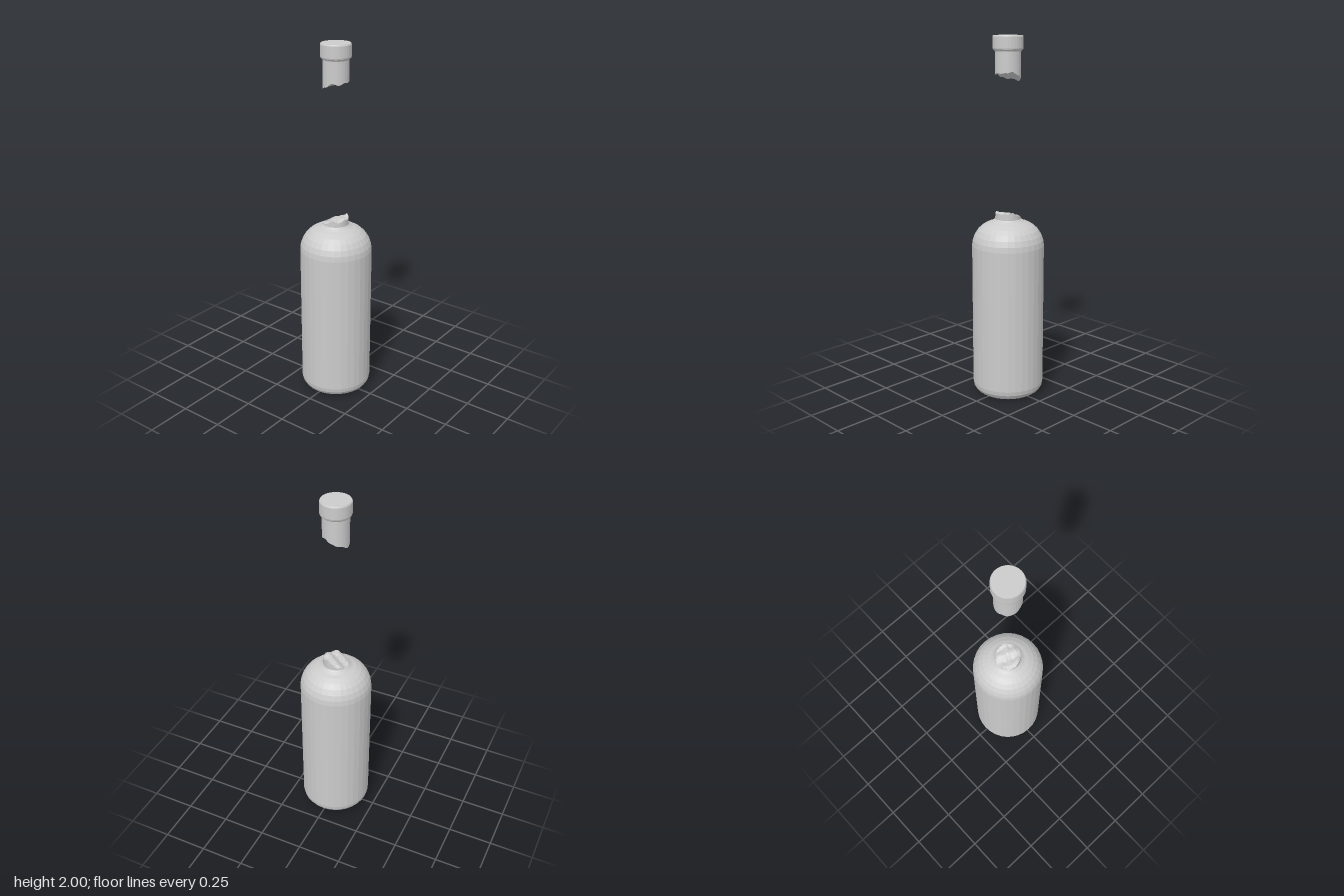
import * as THREE from 'three';

const SIDES = 32;

// Height of the jagged break across the neck: high at the front, low at the back
function breakHeight(x, z) {
  const slope = z > 0.03 ? 1.046 : 1.046 - (0.03 - z) * 0.4;
  const tilt = x * 0.08;
  const chips = 0.005 * Math.sin(x * 85 + z * 40) + 0.003 * Math.cos(z * 130 - x * 60);
  return slope + tilt + chips;
}

// Lathe whose rings chosen by isBroken follow the break, shifted up by lift
function brokenLathe(profile, isBroken, lift) {
  const geo = new THREE.LatheGeometry(profile.map(([r, y]) => new THREE.Vector2(r, y)), SIDES);
  const pos = geo.attributes.position;
  for (let i = 0; i < pos.count; i++) {
    if (isBroken(i % profile.length)) {
      pos.setY(i, breakHeight(pos.getX(i), pos.getZ(i)) + lift);
    }
  }
  geo.computeVertexNormals();
  return geo;
}

export function createModel() {
  const group = new THREE.Group();
  const material = new THREE.MeshStandardMaterial({ color: 0xcccccc, flatShading: true });
  const add = (name, geo) => {
    const mesh = new THREE.Mesh(geo, material);
    mesh.name = name;
    group.add(mesh);
  };
  const breakRings = [0.07, 0.052, 0.035, 0.018, 0];

  // Bottle body: shallow hollow base, rounded foot, straight wall, domed shoulder, neck stub
  const body = [[0, 0.012], [0.08, 0.01], [0.115, 0.003], [0.14, 0]];
  for (let i = 1; i <= 4; i++) {
    const a = (i / 4) * Math.PI / 2;
    body.push([0.14 + 0.059 * Math.sin(a), 0.06 - 0.06 * Math.cos(a)]);
  }
  body.push([0.2, 0.86], [0.196, 0.89], [0.185, 0.92], [0.167, 0.948],
    [0.143, 0.97], [0.115, 0.986], [0.092, 0.994], [0.078, 1.003], [0.071, 1.01]);
  const first = body.length;
  breakRings.forEach((r) => body.push([r, 1.04]));
  add('bottleBody', brokenLathe(body, (j) => j >= first, 0));

  // Snapped-off neck with its collar and closed mouth, floating above the body
  const neck = [...breakRings].reverse().map((r) => [r, 1.79]);
  neck.push([0.07, 1.915], [0.074, 1.922], [0.08, 1.925], [0.082, 1.932],
    [0.082, 1.993], [0.078, 2], [0, 2]);
  add('bottleNeck', brokenLathe(neck, (j) => j < breakRings.length, 0.757));

  return group;
}
